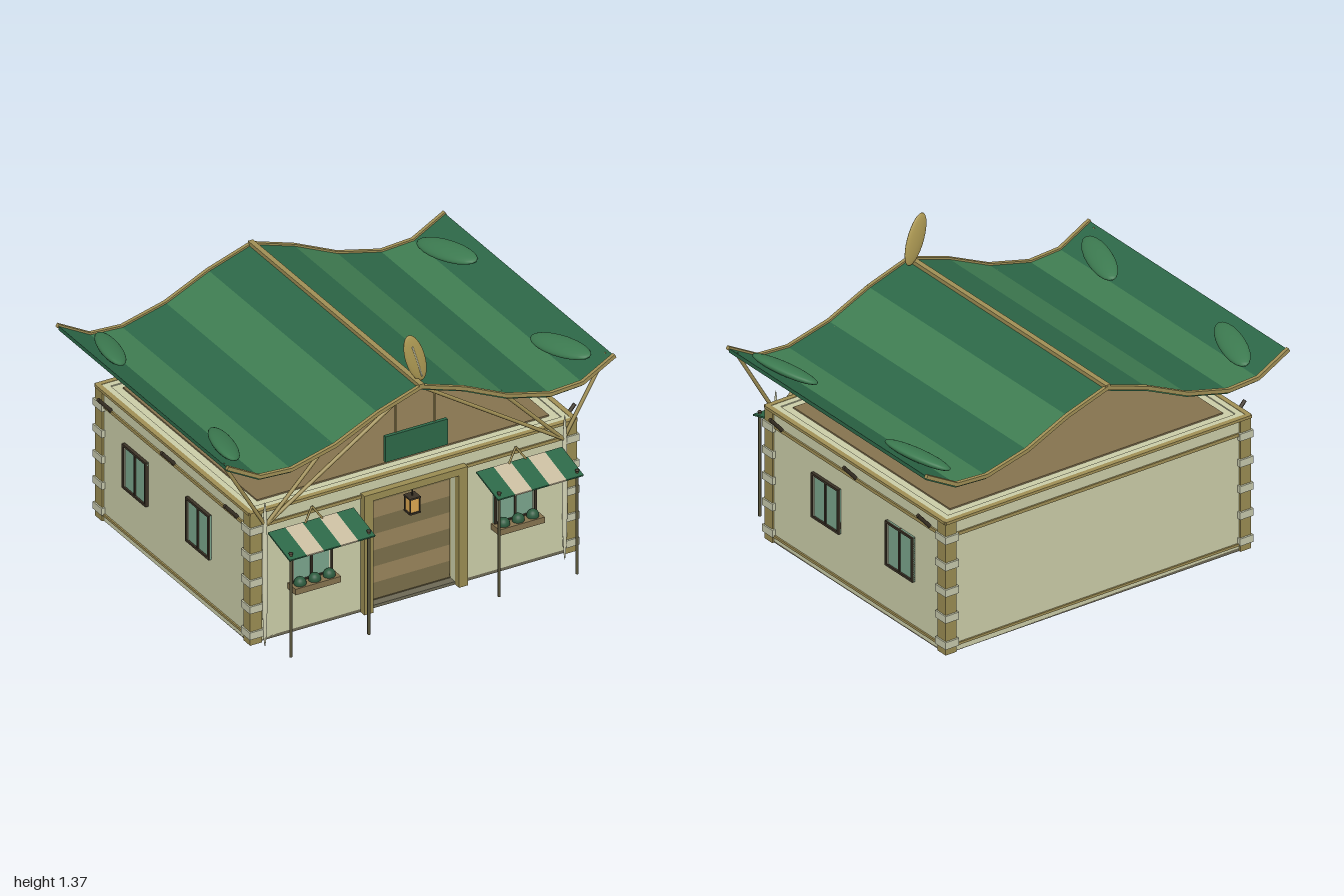
import * as THREE from 'three';

const mat = (color, opts = {}) => {
  const m = new THREE.MeshStandardMaterial({ color });
  return Object.assign(m, opts);
};
const M = {
  cream: mat(0xcbcda8), stone: mat(0xc6c8ac), post: mat(0x9a8c52), trim: mat(0xa08f55),
  brown: mat(0x85734f), plank: mat(0x6b6040), dark: mat(0x3a3226), pole: mat(0x57533a),
  green: mat(0x2d6848, { flatShading: true }), lightGreen: mat(0x3f7d52, { flatShading: true }),
  leaf: mat(0x3c7a50), bush: mat(0x2c5a3e), glass: mat(0x7aa58c), cloth: mat(0xc9bda0),
  lamp: mat(0xdba650), feather: mat(0xb09c55), bone: mat(0xd2d2b4), base: mat(0x6d6955),
};

export function createModel() {
  const root = new THREE.Group();
  const add = (name, geo, material, x = 0, y = 0, z = 0, parent = root) => {
    const mesh = new THREE.Mesh(geo, material);
    mesh.name = name;
    mesh.position.set(x, y, z);
    parent.add(mesh);
    return mesh;
  };
  // Box given by its lower and upper limits on each axis
  const box = (name, material, x0, x1, y0, y1, z0, z1, parent) => add(name,
    new THREE.BoxGeometry(x1 - x0, y1 - y0, z1 - z0), material,
    (x0 + x1) / 2, (y0 + y1) / 2, (z0 + z1) / 2, parent);
  // Round bar between two points
  const bar = (name, material, a, b, r, parent) => {
    const p = new THREE.Vector3(...a), q = new THREE.Vector3(...b);
    const mesh = add(name, new THREE.CylinderGeometry(r, r, p.distanceTo(q), 8), material, 0, 0, 0, parent);
    mesh.position.copy(p).add(q).multiplyScalar(0.5);
    mesh.quaternion.setFromUnitVectors(new THREE.Vector3(0, 1, 0), q.sub(p).normalize());
    return mesh;
  };
  const ellipsoid = (name, material, rx, ry, rz, x, y, z, parent) =>
    add(name, new THREE.SphereGeometry(1, 20, 14).scale(rx, ry, rz), material, x, y, z, parent);

  // Floor and walls, with a doorway cut in the front
  box('base', M.base, -0.83, 0.83, 0.02, 0.035, -0.73, 0.6);
  for (let i = 0; i < 10; i++) {
    const z = -0.69 + i * 0.125;
    box('floorPlank', i % 2 ? M.plank : M.brown, -0.79, 0.79, 0.034, 0.04, z, z + 0.125);
  }
  const front = new THREE.Shape();
  [[-0.83, 0.02], [-0.22, 0.02], [-0.22, 0.59], [0.22, 0.59], [0.22, 0.02], [0.83, 0.02], [0.83, 0.69], [-0.83, 0.69]]
    .forEach(([x, y], i) => (i ? front.lineTo(x, y) : front.moveTo(x, y)));
  add('frontWall', new THREE.ExtrudeGeometry(front, { depth: 0.04, bevelEnabled: false }), M.cream, 0, 0, 0.56);
  box('backWall', M.cream, -0.83, 0.83, 0.02, 0.69, -0.73, -0.69);
  for (const s of [-1, 1]) {
    box('sideWall', M.cream, s * 0.81 - 0.02, s * 0.81 + 0.02, 0.02, 0.69, -0.69, 0.56);
  }
  box('ceiling', M.cream, -0.8, 0.8, 0.665, 0.685, -0.7, 0.57);
  box('ceilingPanel', M.brown, -0.75, 0.75, 0.68, 0.692, -0.65, 0.52);

  // Trim around the walls
  for (const [y, h, d] of [[0.685, 0.014, 0.015], [0.609, 0.016, 0.008], [0.055, 0.012, 0.008]]) {
    for (const s of [-1, 1]) {
      const x = s * (0.83 + d / 2 - 0.005);
      box('sideTrim', M.trim, x - d / 2 - 0.005, x + d / 2 + 0.005, y - h / 2, y + h / 2, -0.735, 0.605);
    }
    box('backTrim', M.trim, -0.84, 0.84, y - h / 2, y + h / 2, -0.73 - d, -0.72);
    if (y > 0.1) box('frontTrim', M.trim, -0.84, 0.84, y - h / 2, y + h / 2, 0.59, 0.6 + d);
  }

  // Corner posts with stone bands
  for (const x of [-0.81, 0.81]) for (const z of [-0.71, 0.583]) {
    box('cornerPost', M.post, x - 0.03, x + 0.03, 0.02, 0.685, z - 0.03, z + 0.03);
    for (let i = 0; i < 5; i++) {
      const y = 0.072 + i * 0.132;
      box('postBand', M.stone, x - 0.037, x + 0.037, y - 0.018, y + 0.018, z - 0.039, z + 0.039);
    }
  }

  // Door frame
  for (const s of [-1, 1]) box('doorPost', M.post, s * 0.243 - 0.023, s * 0.243 + 0.023, 0.02, 0.625, 0.55, 0.635);
  box('doorLintel', M.post, -0.22, 0.22, 0.59, 0.625, 0.55, 0.635);

  // Hanging lantern
  bar('lanternCord', M.dark, [0, 0.53, 0.6], [0, 0.595, 0.6], 0.003);
  box('lanternGlass', M.lamp, -0.022, 0.022, 0.462, 0.53, 0.578, 0.622);
  for (const y of [0.455, 0.53]) box('lanternCap', M.dark, -0.028, 0.028, y, y + 0.008, 0.572, 0.628);
  for (const x of [-0.024, 0.024]) for (const z of [0.576, 0.624]) {
    bar('lanternEdge', M.dark, [x, 0.458, z], [x, 0.535, z], 0.003);
  }

  // Shop counters with round goods
  box('backCounter', M.brown, -0.36, 0.45, 0.035, 0.215, -0.5, -0.3);
  box('counterTop', M.plank, -0.38, 0.47, 0.212, 0.225, -0.52, -0.28);
  for (const x of [-0.19, 0.015, 0.22]) box('counterBatten', M.plank, x - 0.005, x + 0.005, 0.04, 0.215, -0.3, -0.295);
  box('sideCounter', M.brown, -0.62, -0.38, 0.035, 0.215, -0.2, 0.08);
  box('counterTop', M.plank, -0.63, -0.37, 0.212, 0.225, -0.21, 0.09);
  for (let i = 0; i < 6; i++) {
    ellipsoid('goods', M.feather, 0.035, 0.025, 0.035, -0.44 - (i % 2) * 0.1, 0.24, 0.03 - (i >> 1) * 0.09);
  }

  // Window facing +z, centred on its group
  const makeWindow = (w, h) => {
    const g = new THREE.Group();
    g.name = 'window';
    const t = 0.011;
    box('pane', M.glass, -w / 2, w / 2, -h / 2, h / 2, -0.01, 0.005, g);
    for (const s of [-1, 1]) {
      box('windowRail', M.dark, -w / 2, w / 2, s * (h - t) / 2 - t / 2, s * (h - t) / 2 + t / 2, -0.01, 0.014, g);
      box('windowStile', M.dark, s * (w - t) / 2 - t / 2, s * (w - t) / 2 + t / 2, -h / 2, h / 2, -0.01, 0.014, g);
      box('innerStile', M.bone, s * (w / 2 - 0.014) - 0.003, s * (w / 2 - 0.014) + 0.003, -h / 2 + t, h / 2 - t, 0, 0.008, g);
    }
    box('mullion', M.dark, -0.005, 0.005, -h / 2, h / 2, -0.01, 0.012, g);
    root.add(g);
    return g;
  };
  for (const s of [-1, 1]) for (const z of [0.157, -0.395]) {
    const w = makeWindow(0.205, 0.225);
    w.position.set(s * 0.832, 0.395, z);
    w.rotation.y = s * Math.PI / 2;
  }

  for (const s of [-1, 1]) {
    // Front window and planter
    const cx = s * 0.523;
    makeWindow(0.215, 0.225).position.set(cx, 0.385, 0.602);
    box('planter', M.brown, cx - 0.117, cx + 0.117, 0.247, 0.277, 0.6, 0.67);
    for (const d of [-0.075, 0, 0.075]) ellipsoid('plant', M.bush, 0.029, 0.03, 0.027, cx + d, 0.283, 0.637);

    // Striped awning on two poles
    const awning = new THREE.Group();
    awning.name = 'awning';
    awning.position.set(s * 0.535, 0.55, 0.718);
    awning.rotation.x = Math.atan2(0.047, 0.18);
    for (let i = 0; i < 5; i++) {
      const x = -0.22 + i * 0.088;
      box('awningStripe', i % 2 ? M.cloth : M.green, x, x + 0.088, -0.004, 0.004, -0.098, 0.098, awning);
    }
    root.add(awning);
    for (const d of [-0.2, 0.2]) {
      bar('awningPole', M.pole, [s * 0.535 + d, 0.02, 0.79], [s * 0.535 + d, 0.545, 0.79], 0.007);
      ellipsoid('poleCap', M.dark, 0.01, 0.006, 0.01, s * 0.535 + d, 0.546, 0.79);
      bar('awningHanger', M.trim, [cx, 0.64, 0.615], [cx + d * 0.22, 0.575, 0.63], 0.005);
    }

    // Pointed bone stake and roof struts
    ellipsoid('stake', M.bone, 0.013, 0.368, 0.011, s * 0.77, 0.368, 0.623);
    for (const [x, y] of [[0, 1.115], [0.44, 0.95], [0.985, 0.99]]) {
      bar('roofStrut', M.trim, [s * 0.765, 0.615, 0.62], [s * x, y, 0.622], 0.009);
    }
    // Short pegs along the side eaves
    for (const z of [0.49, -0.06, -0.612]) bar('sidePeg', M.dark, [s * 0.825, 0.605, z], [s * 0.9, 0.69, z], 0.009);
  }
  box('signBoard', M.green, -0.16, 0.16, 0.77, 0.9, 0.622, 0.64);
  for (const x of [-0.1, 0.1]) bar('signHanger', M.trim, [x, 0.89, 0.625], [x, 1.06, 0.625], 0.004);

  // Sweeping roof made from striped panels, edged front and back
  const profile = [[0, 1.13], [0.22, 1.058], [0.44, 0.957], [0.665, 0.9], [0.83, 0.91], [0.993, 1.0]];
  for (const s of [-1, 1]) {
    for (let i = 0; i < 5; i++) {
      const [x0, y0] = profile[i], [x1, y1] = profile[i + 1];
      const strip = new THREE.Shape([[x0, y0], [x1, y1], [x1, y1 - 0.02], [x0, y0 - 0.02]]
        .map(([x, y]) => new THREE.Vector2(s * x, y)));
      add('roofPanel', new THREE.ExtrudeGeometry(strip, { depth: 1.47, bevelEnabled: false }),
        i % 2 ? M.lightGreen : M.green, 0, 0, -0.8);
      const len = Math.hypot(x1 - x0, y1 - y0) + 0.006;
      for (const z of [-0.805, 0.675]) {
        const edge = add('roofEdge', new THREE.BoxGeometry(len, 0.018, 0.018), M.trim,
          s * (x0 + x1) / 2, (y0 + y1) / 2, z);
        edge.rotation.z = s * Math.atan2(y1 - y0, x1 - x0);
      }
    }
    // Large leaves resting on the eaves
    for (const z of [-0.565, 0.425]) {
      const tilt = new THREE.Group();
      tilt.name = 'roofLeaf';
      tilt.position.set(s * 0.865, 0.962, z);
      tilt.rotation.z = s * 0.32;
      ellipsoid('leaf', M.leaf, 0.06, 0.026, 0.18, 0, 0, 0, tilt).rotation.y = s * 0.3;
      root.add(tilt);
    }
  }
  box('ridge', M.trim, -0.013, 0.013, 1.122, 1.145, -0.812, 0.685);

  // Upright plume at the front of the ridge
  const plume = new THREE.Group();
  plume.name = 'plume';
  plume.position.set(0, 1.25, 0.625);
  plume.rotation.z = 0.3;
  ellipsoid('plumeBlade', M.feather, 0.048, 0.128, 0.014, 0, 0, 0, plume);
  bar('plumeSpine', M.bone, [0, -0.1, 0.011], [0, 0.07, 0.011], 0.004, plume);
  root.add(plume);

  return root;
}
